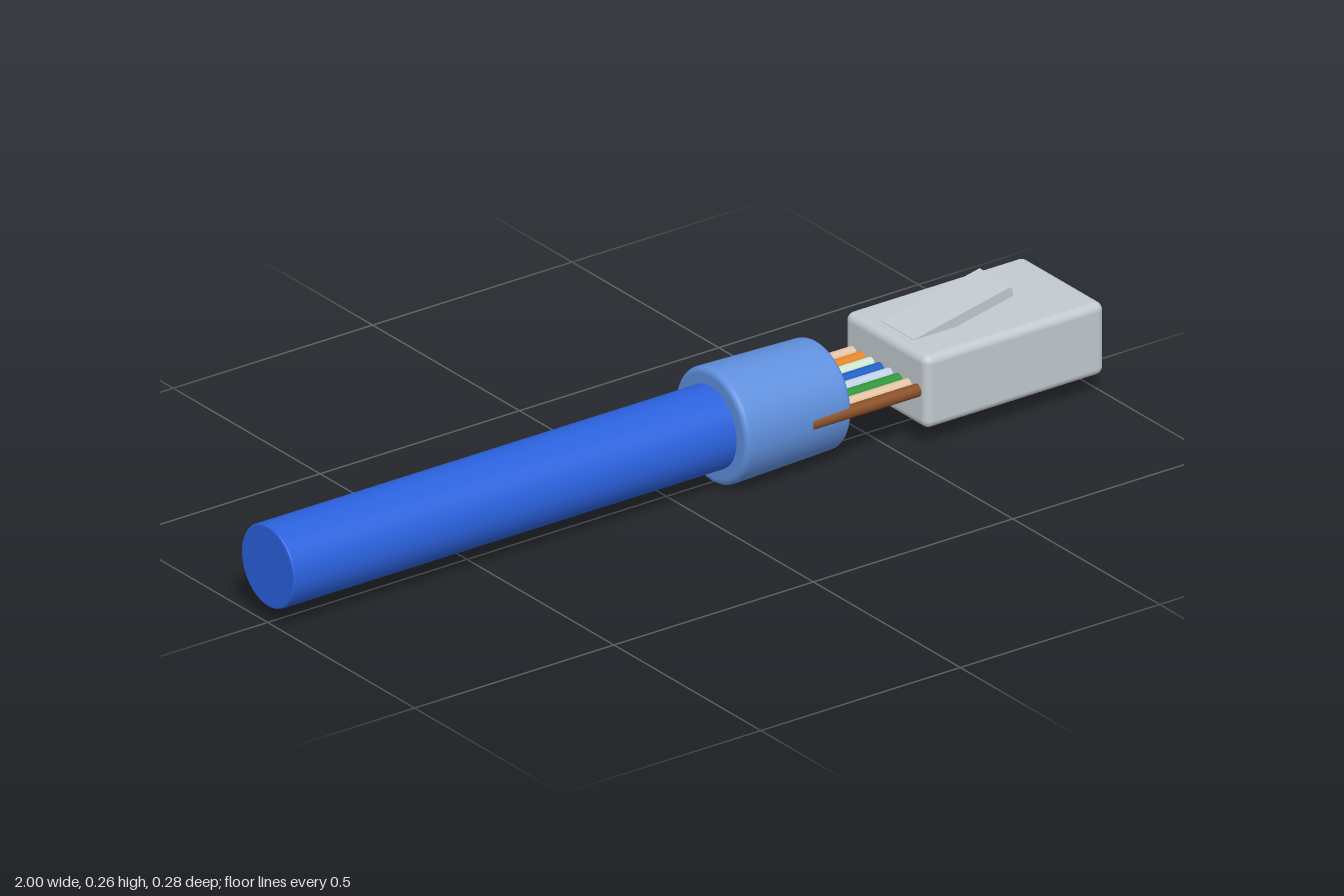
import * as THREE from 'three';
import { RoundedBoxGeometry } from 'three/addons/geometries/RoundedBoxGeometry.js';

const AXIS_Y = 0.125;

const mat = (name, color) => {
  const m = new THREE.MeshStandardMaterial({ color });
  m.name = name;
  return m;
};

// Solid round bar along x with rounded rims; radius may taper from r0 to r1
function roundedBar(x0, x1, r0, r1, fillet, segments) {
  const pts = [[0, x0], [r0 - fillet * 1.15, x0]];
  const steps = 5;
  for (let i = 0; i <= steps; i++) {
    const a = (i / steps) * Math.PI / 2;
    pts.push([r0 - fillet + fillet * Math.sin(a), x0 + fillet - fillet * Math.cos(a)]);
  }
  pts.push([r0 + (r1 - r0) * 0.05, x0 + fillet + (x1 - x0) * 0.05]);
  pts.push([r1 - (r1 - r0) * 0.05, x1 - fillet - (x1 - x0) * 0.05]);
  for (let i = 0; i <= steps; i++) {
    const a = (i / steps) * Math.PI / 2;
    pts.push([r1 - fillet + fillet * Math.cos(a), x1 - fillet + fillet * Math.sin(a)]);
  }
  pts.push([r1 - fillet * 1.15, x1], [0, x1]);
  const profile = pts.map(([r, x]) => new THREE.Vector2(r, x));
  return new THREE.LatheGeometry(profile, segments).rotateZ(-Math.PI / 2);
}

export function createModel() {
  const group = new THREE.Group();
  group.name = 'networkCable';
  const add = (name, geometry, material, x, y, z) => {
    const mesh = new THREE.Mesh(geometry, material);
    mesh.name = name;
    mesh.position.set(x, y, z);
    group.add(mesh);
    return mesh;
  };

  // Cable jacket and strain relief collar
  add('cableJacket', roundedBar(-1, 0.2, 0.09, 0.09, 0.004, 48), mat('jacketBlue', 0x2b62de), 0, AXIS_Y, 0);
  add('collar', roundedBar(0.11, 0.38, 0.125, 0.118, 0.012, 48), mat('collarBlue', 0x6090de), 0, AXIS_Y, 0);

  // Eight wires side by side, from back to front
  const beige = mat('wireBeige', 0xe2c4a4);
  const wires = [
    ['beigeWire', beige],
    ['orangeWire', mat('wireOrange', 0xe8842a)],
    ['paleGreenWire', mat('wirePaleGreen', 0xcfe6cf)],
    ['blueWire', mat('wireBlue', 0x1f5fc4)],
    ['paleBlueWire', mat('wirePaleBlue', 0xc6d8ee)],
    ['greenWire', mat('wireGreen', 0x2f9638)],
    ['secondBeigeWire', beige],
    ['brownWire', mat('wireBrown', 0x8a5028)],
  ];
  const wireGeometry = new THREE.CylinderGeometry(0.014, 0.014, 0.3, 16).rotateZ(Math.PI / 2);
  wires.forEach(([name, material], i) => {
    add(name, wireGeometry, material, 0.43, AXIS_Y, (i - 3.5) * 0.0314);
  });

  // Plug body with its tilted latch
  const plug = mat('plugGrey', 0xc2cad0);
  add('plugBody', new RoundedBoxGeometry(0.45, 0.162, 0.28, 4, 0.018), plug, 0.773, AXIS_Y, 0);
  const latch = add('latch', new THREE.BoxGeometry(0.25, 0.022, 0.108), plug, 0.705, 0.221, 0);
  latch.rotation.z = 0.2;

  return group;
}
